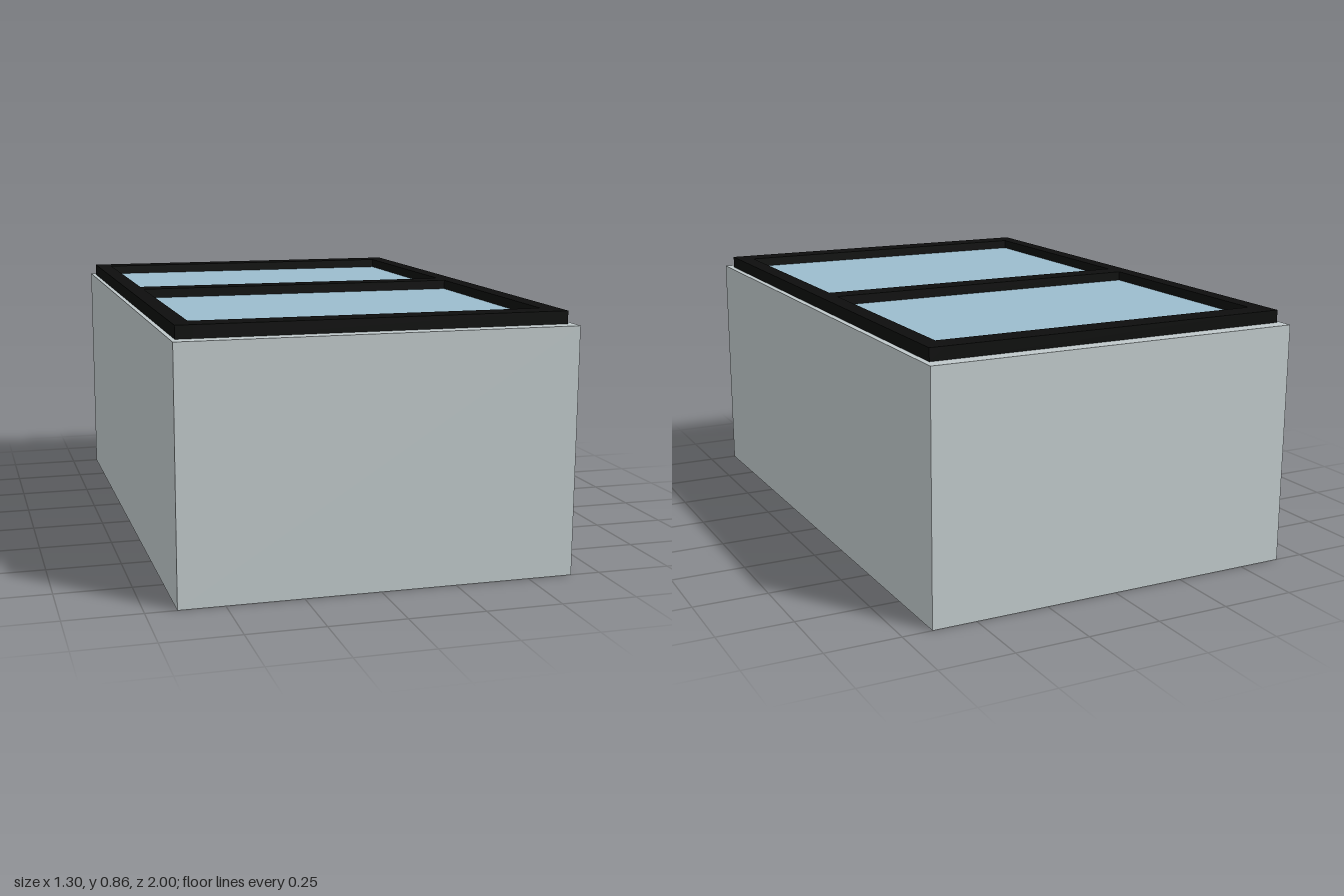
import * as THREE from 'three';

const paint = (color) => new THREE.MeshStandardMaterial({ color });

// Box given by its extents along each axis
function block(name, [x0, x1], [y0, y1], [z0, z1], material) {
  const mesh = new THREE.Mesh(new THREE.BoxGeometry(x1 - x0, y1 - y0, z1 - z0), material);
  mesh.position.set((x0 + x1) / 2, (y0 + y1) / 2, (z0 + z1) / 2);
  mesh.name = name;
  return mesh;
}

export function createModel() {
  const model = new THREE.Group();
  model.name = 'skylight';
  const wall = paint(0xbfc8ca), black = paint(0x0d0e0d), glass = paint(0x9bbccd);
  const baseTop = 0.82, paneTop = 0.83, frameTop = 0.862;

  // Solid base
  model.add(block('base', [-0.65, 0.65], [0, baseTop], [-1, 1], wall));

  // Raised frame: two long sides, two ends and a crossbar between them
  const frame = new THREE.Group();
  frame.name = 'frame';
  const height = [baseTop, frameTop];
  frame.add(
    block('rightSideRail', [-0.635, -0.58], height, [-0.95, 0.95], black),
    block('leftSideRail', [0.572, 0.63], height, [-0.95, 0.95], black),
  );
  const crossRails = { backRail: [-0.95, -0.867], crossbar: [-0.07, 0.01], frontRail: [0.864, 0.95] };
  for (const [name, depth] of Object.entries(crossRails)) {
    frame.add(block(name, [-0.58, 0.572], height, depth, black));
  }
  model.add(frame);

  // Glass panes set below the top of the frame
  const panes = { backPane: [-0.867, -0.07], frontPane: [0.01, 0.864] };
  for (const [name, depth] of Object.entries(panes)) {
    model.add(block(name, [-0.58, 0.572], [baseTop, paneTop], depth, glass));
  }
  return model;
}
